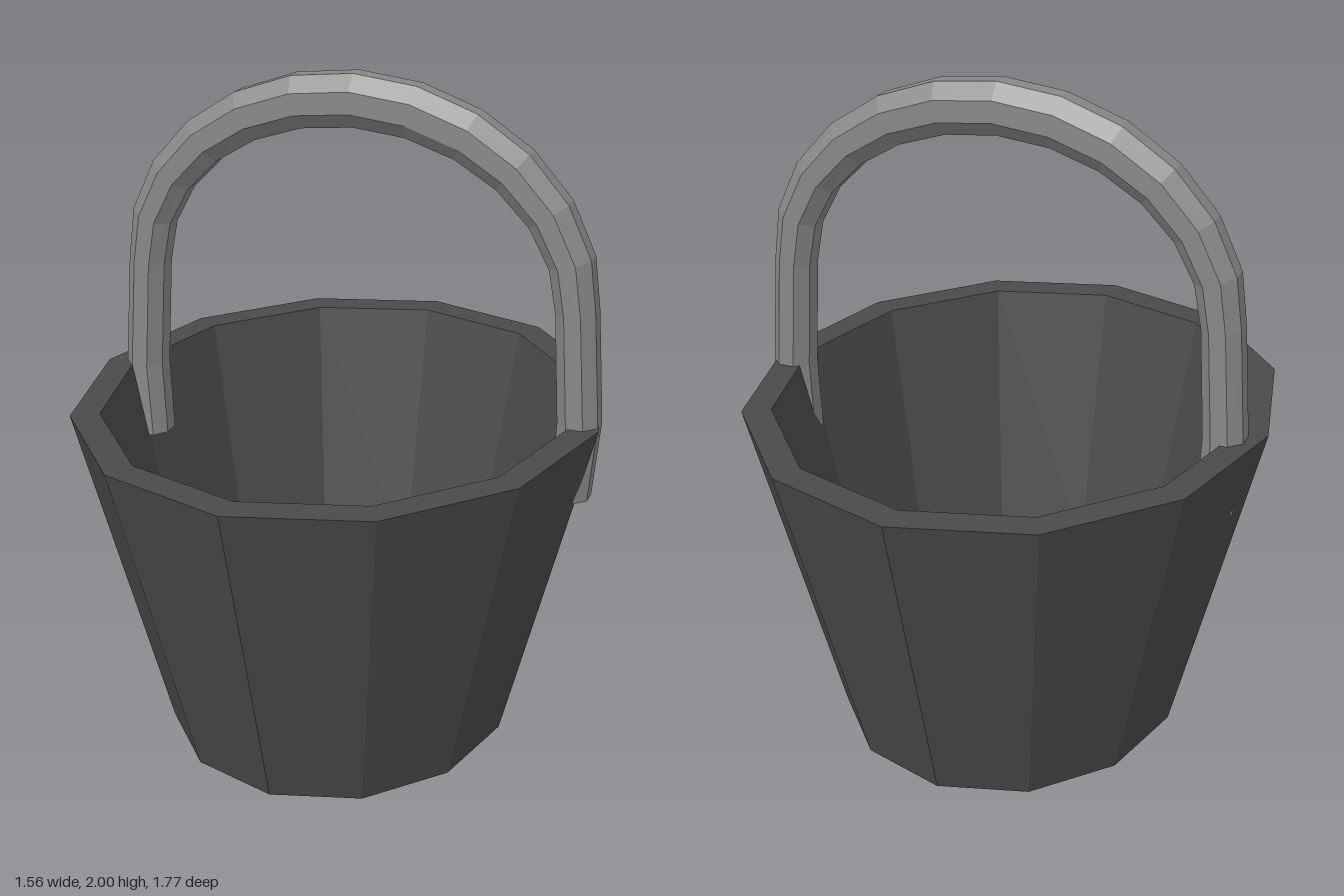
import * as THREE from 'three';

const SIDES = 8;

// Closed tube swept along points in the xy plane, each with its own in-plane radius
function sweep(path, depthRadius) {
  const positions = [], index = [];
  path.forEach((p, i) => {
    const a = path[Math.max(i - 1, 0)], b = path[Math.min(i + 1, path.length - 1)];
    const len = Math.hypot(b.x - a.x, b.y - a.y);
    const nx = -(b.y - a.y) / len, ny = (b.x - a.x) / len;
    for (let j = 0; j < SIDES; j++) {
      const t = ((j + 0.5) / SIDES) * Math.PI * 2;
      const k = 1 / Math.cos(Math.PI / SIDES);
      const r = p.r * k * Math.cos(t);
      positions.push(p.x + nx * r, p.y + ny * r, depthRadius * k * Math.sin(t));
    }
  });
  for (let i = 0; i < path.length - 1; i++) {
    for (let j = 0; j < SIDES; j++) {
      const a = i * SIDES + j, b = i * SIDES + ((j + 1) % SIDES);
      index.push(a, b, a + SIDES, b, b + SIDES, a + SIDES);
    }
  }
  // end caps
  const last = (path.length - 1) * SIDES;
  for (let j = 1; j < SIDES - 1; j++) {
    index.push(0, j + 1, j, last, last + j, last + j + 1);
  }
  const geometry = new THREE.BufferGeometry();
  geometry.setAttribute('position', new THREE.Float32BufferAttribute(positions, 3));
  geometry.setIndex(index);
  geometry.computeVertexNormals();
  return geometry;
}

export function createModel() {
  const model = new THREE.Group();
  model.name = 'bucket';

  const darkGrey = new THREE.MeshStandardMaterial({ color: 0x4a4a4a, flatShading: true });
  darkGrey.name = 'darkGrey';
  const lightGrey = new THREE.MeshStandardMaterial({ color: 0x888888, flatShading: true });
  lightGrey.name = 'lightGrey';

  // Twelve-sided oval pail: base, outer wall, rim, inner wall, floor
  const profile = [
    [0, 0], [0.59, 0], [0.885, 1.04], [0.79, 1.04], [0.595, 0.2], [0, 0.2],
  ].map(([x, y]) => new THREE.Vector2(x, y));
  const pail = new THREE.Mesh(new THREE.LatheGeometry(profile, 12), darkGrey);
  pail.name = 'pail';
  pail.scale.x = 0.78 / 0.885;
  model.add(pail);

  // Arched handle, its ends sunk into the walls
  const path = [{ x: -0.675, y: 0.81, r: 0.055 }, { x: -0.69, y: 1.04, r: 0.06 }];
  const steps = 12;
  for (let i = 0; i <= steps; i++) {
    const a = Math.PI * (1 - i / steps);
    path.push({
      x: 0.668 * Math.cos(a),
      y: 1.373 + 0.55 * Math.sin(a),
      r: 0.058 + 0.019 * Math.sin(a),
    });
  }
  path.push({ x: 0.69, y: 1.04, r: 0.06 }, { x: 0.675, y: 0.81, r: 0.055 });
  const handle = new THREE.Mesh(sweep(path, 0.064), lightGrey);
  handle.name = 'handle';
  handle.position.set(0.022, 0, -0.048);
  model.add(handle);

  return model;
}
